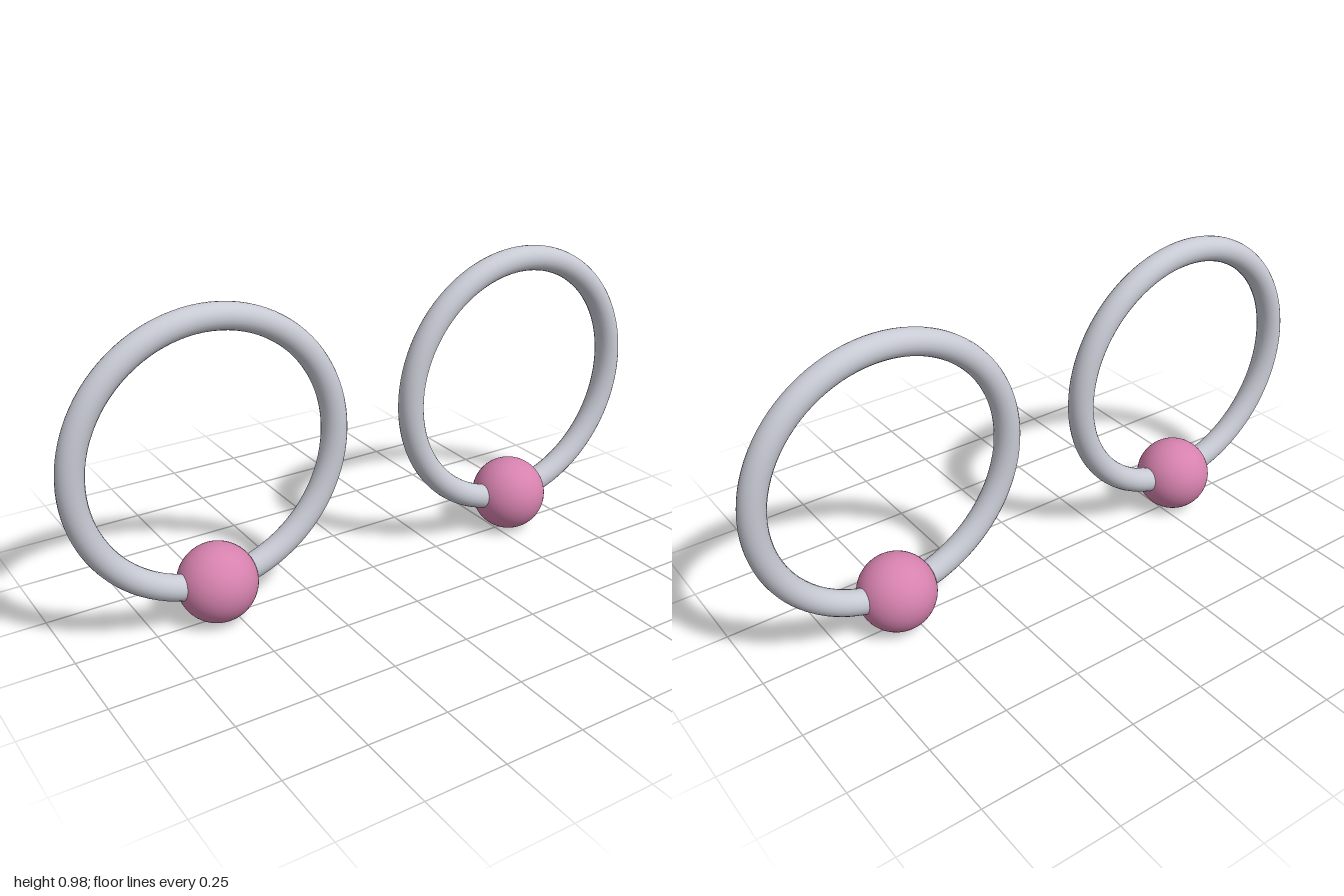
import * as THREE from 'three';

export function createModel() {
  const silver = new THREE.MeshStandardMaterial({ color: 0xc8cad4 });
  silver.name = 'silver';
  const pink = new THREE.MeshStandardMaterial({ color: 0xd682ae });
  pink.name = 'pink';

  const ringRadius = 0.41, tube = 0.04, beadRadius = 0.122;
  const hoopGeometry = new THREE.TorusGeometry(ringRadius, tube, 24, 96);
  const beadGeometry = new THREE.SphereGeometry(beadRadius, 48, 32);

  // A hoop with a bead threaded on its lowest point
  function beadedRing(name, x) {
    const group = new THREE.Group();
    group.name = name;
    const hoop = new THREE.Mesh(hoopGeometry, silver);
    hoop.name = 'hoop';
    hoop.position.y = beadRadius + ringRadius;
    const bead = new THREE.Mesh(beadGeometry, pink);
    bead.name = 'bead';
    bead.position.y = beadRadius;
    group.add(hoop, bead);
    group.position.x = x;
    return group;
  }

  const model = new THREE.Group();
  model.name = 'beadedRings';
  model.add(beadedRing('leftRing', 0.55), beadedRing('rightRing', -0.55));
  return model;
}
